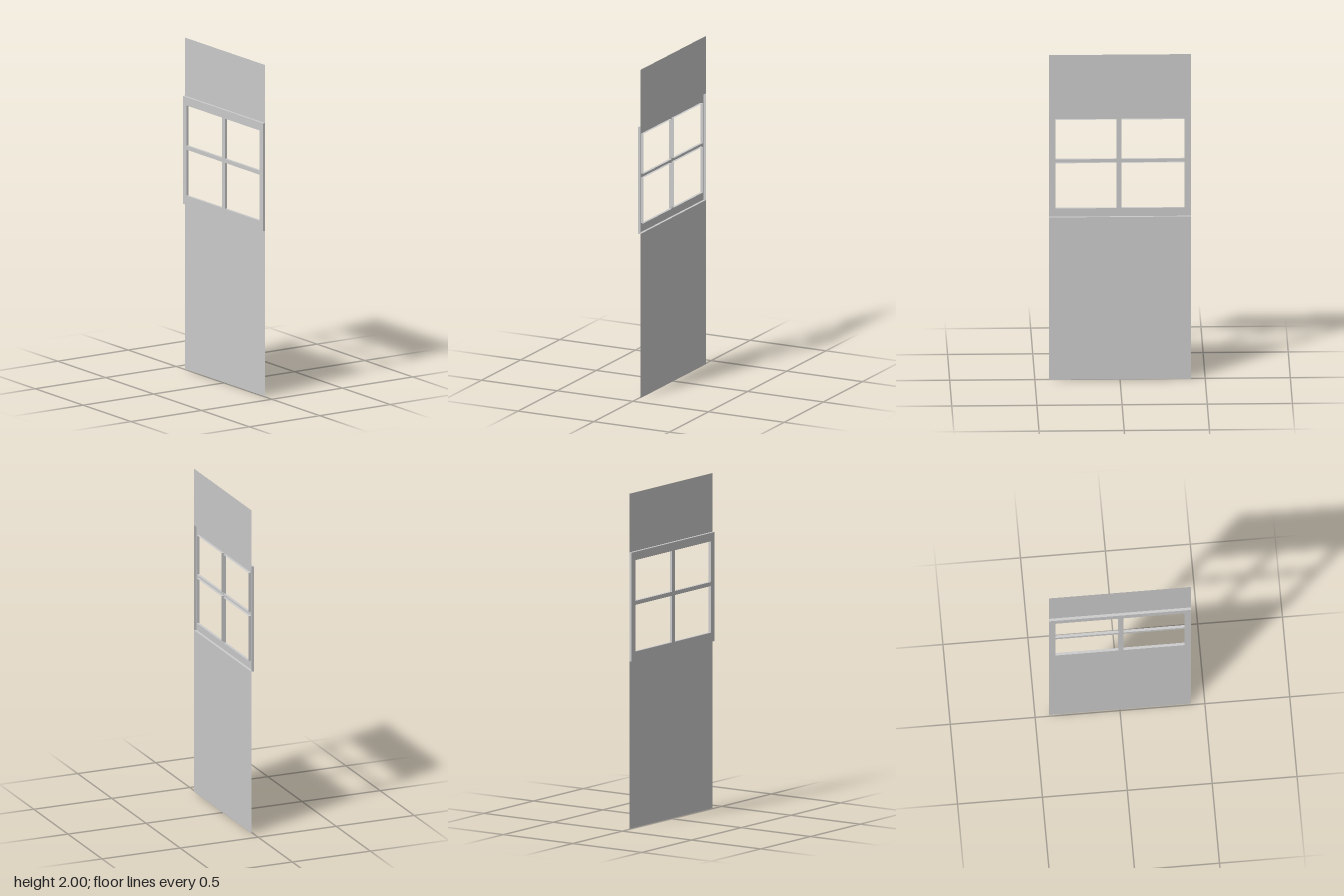
import * as THREE from 'three';

const W = 0.418;             // half width along z
const D = 0.008;             // half depth of the window frame along x
const SILL = 1.0, HEAD = 1.65, TOP = 2.0;

const material = new THREE.MeshStandardMaterial({ color: 0xcccccc, side: THREE.DoubleSide });

function add(parent, name, geometry) {
  const mesh = new THREE.Mesh(geometry, material);
  mesh.name = name;
  parent.add(mesh);
  return mesh;
}

// Upright sheet across z at depth x
function panel(parent, name, x, y0, y1) {
  add(parent, name, new THREE.PlaneGeometry(2 * W, y1 - y0).rotateY(Math.PI / 2))
    .position.set(x, (y0 + y1) / 2, 0);
}

// Four thin walls around a rectangle, as deep as the frame
function walls(parent, name, [z0, z1, y0, y1]) {
  const group = new THREE.Group();
  group.name = name;
  for (const y of [y0, y1]) {
    add(group, 'levelWall', new THREE.PlaneGeometry(2 * D, z1 - z0).rotateX(-Math.PI / 2))
      .position.set(0, y, (z0 + z1) / 2);
  }
  for (const z of [z0, z1]) {
    add(group, 'uprightWall', new THREE.PlaneGeometry(2 * D, y1 - y0))
      .position.set(0, (y0 + y1) / 2, z);
  }
  parent.add(group);
}

function outline(path, [z0, z1, y0, y1]) {
  path.moveTo(z0, y0).lineTo(z1, y0);
  path.lineTo(z1, y1).lineTo(z0, y1).closePath();
  return path;
}

export function createModel() {
  const model = new THREE.Group();
  model.name = 'windowWall';

  // Solid wall sheets below and above the window
  panel(model, 'lowerPanel', D, 0, SILL);
  panel(model, 'upperPanel', D, HEAD, TOP);

  // Window frame: a face with four panes cut out, set back from the wall sheets
  const frame = new THREE.Group();
  frame.name = 'windowFrame';
  model.add(frame);

  const border = [-W, W, SILL, HEAD];
  const face = outline(new THREE.Shape(), border);
  walls(frame, 'outerWalls', border);

  for (const [z0, z1] of [[-0.38, -0.01], [0.02, 0.38]]) {
    for (const [y0, y1] of [[1.055, 1.333], [1.357, 1.6]]) {
      const pane = [z0, z1, y0, y1];
      face.holes.push(outline(new THREE.Path(), pane));
      walls(frame, 'paneReveal', pane);
    }
  }
  add(frame, 'frameFace', new THREE.ShapeGeometry(face).rotateY(-Math.PI / 2)).position.x = -D;

  return model;
}
